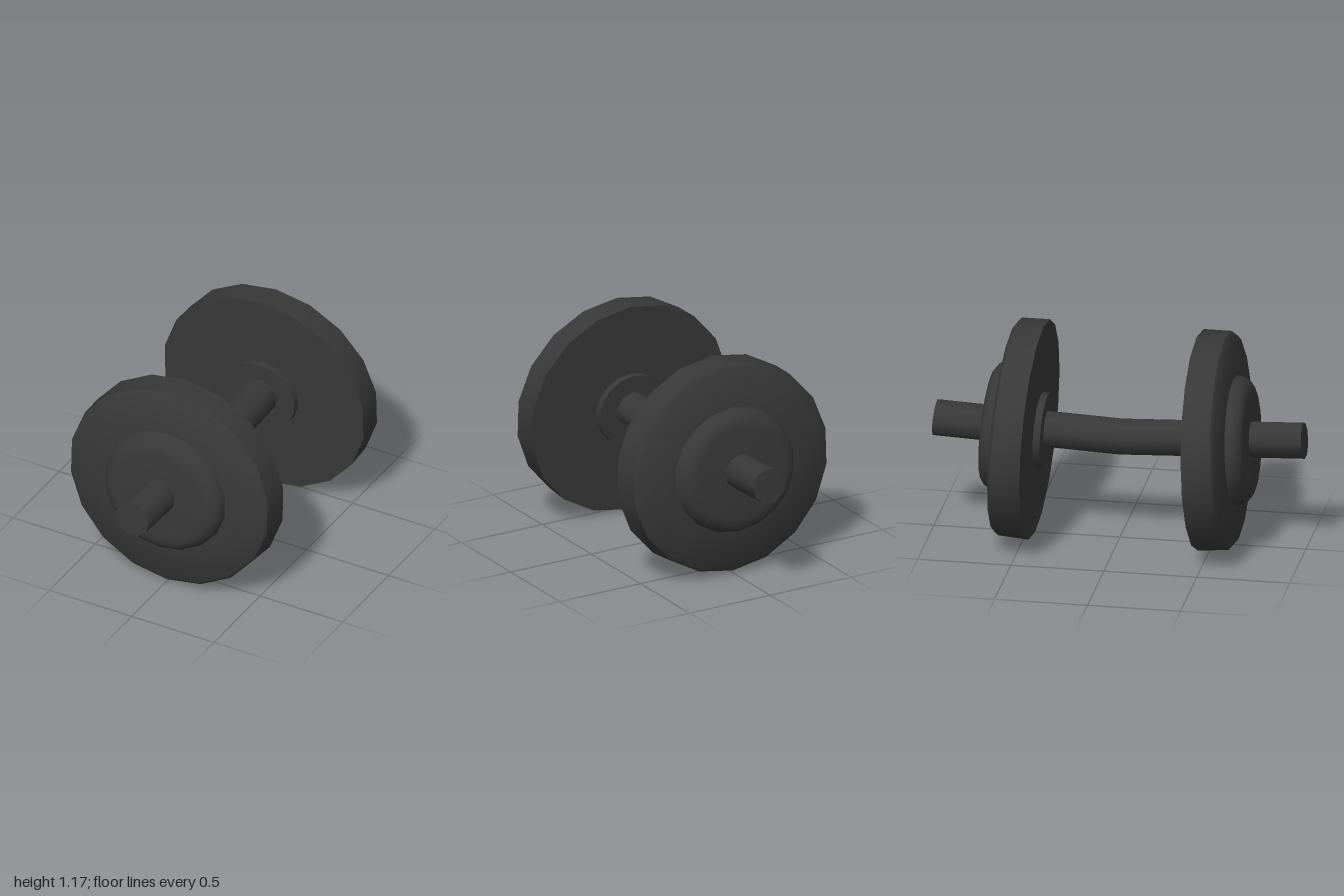
import * as THREE from 'three';
import { toCreasedNormals } from 'three/addons/utils/BufferGeometryUtils.js';

const AXIS_Y = 0.578;      // height of the bar at its middle
const SQUASH = 0.957;      // slight vertical flattening
const BEND = 11.5;         // radius of the gentle upward bend

// Curves a part upwards towards both ends of the bar.
function bend(geometry) {
  const p = geometry.attributes.position;
  for (let i = 0; i < p.count; i++) {
    const r = BEND - p.getY(i) * SQUASH;
    const a = p.getZ(i) / BEND;
    p.setY(i, AXIS_Y + BEND - r * Math.cos(a));
    p.setZ(i, r * Math.sin(a));
  }
  return toCreasedNormals(geometry, 0.8);
}

// Turns a profile of [radius, z] points about the bar's axis.
function turned(name, profile, sides, material, back = false) {
  const points = profile.map(([r, z]) => new THREE.Vector2(r, z));
  const geometry = new THREE.LatheGeometry(points, sides, Math.PI);
  geometry.rotateX(Math.PI / 2);
  if (back) geometry.rotateY(Math.PI);
  const mesh = new THREE.Mesh(bend(geometry), material);
  mesh.name = name;
  return mesh;
}

export function createModel() {
  const group = new THREE.Group();
  group.name = 'dumbbell';
  const iron = new THREE.MeshStandardMaterial({ color: 0x383838 });
  iron.name = 'darkIron';

  // Nine-sided bar with a joint in the middle
  const R = 0.1016, L = 0.993;
  group.add(turned('bar', [[0, -L], [R, -L], [R, 0], [R, L], [0, L]], 9, iron));

  // A weight at each end: inner collar, plate and outer hub
  for (const back of [false, true]) {
    const weight = new THREE.Group();
    weight.name = back ? 'backWeight' : 'frontWeight';
    weight.add(
      turned('collar', [[0, 0.396], [0.207, 0.396], [0.207, 0.44]], 18, iron, back),
      turned('plate', [[0, 0.434], [0.61, 0.434], [0.603, 0.592], [0.583, 0.609],
        [0.34, 0.628]], 18, iron, back),
      turned('hub', [[0.362, 0.62], [0.355, 0.656], [0.34, 0.685], [0.308, 0.706],
        [0.27, 0.711], [0, 0.711]], 18, iron, back),
    );
    group.add(weight);
  }
  return group;
}
